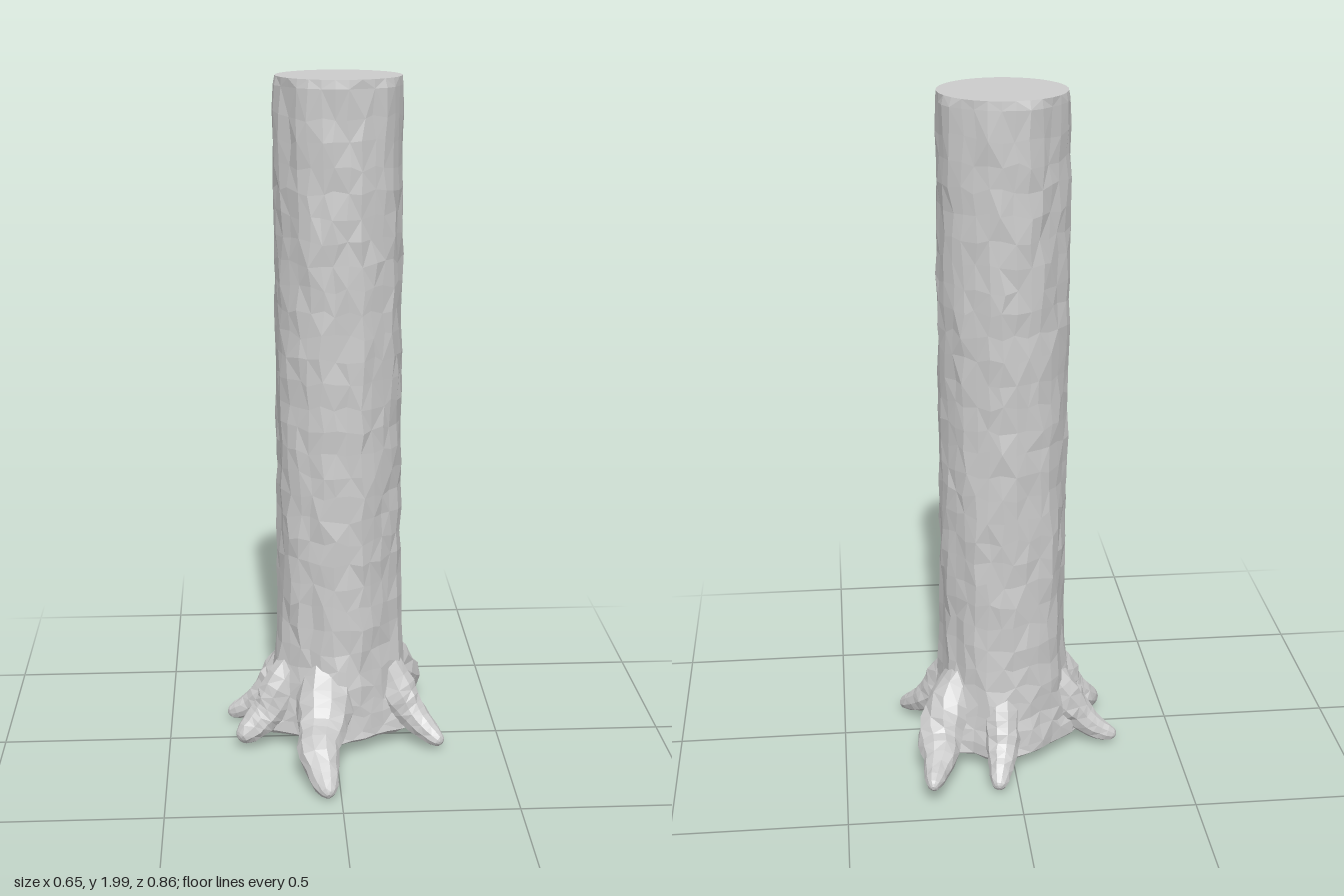
import * as THREE from 'three';

const CX = 0.016, CZ = -0.055, HEIGHT = 2;
const material = new THREE.MeshStandardMaterial({ color: 0xcccccc, flatShading: true, side: THREE.DoubleSide });

// Each root is a path of [x, y, z, half width, half height], from trunk to tip.
const ROOTS = {
  frontRoot: [[-0.02, 0.27, 0.04, 0.075, 0.07], [-0.035, 0.16, 0.12, 0.085, 0.085], [-0.045, 0.115, 0.2, 0.074, 0.06],
    [-0.06, 0.098, 0.3, 0.06, 0.046], [-0.046, 0.05, 0.37, 0.042, 0.036], [-0.037, 0.024, 0.428, 0.024, 0.024]],
  frontLeftRoot: [[0.13, 0.28, 0.0, 0.05, 0.05], [0.185, 0.16, 0.025, 0.06, 0.07],
    [0.23, 0.105, 0.05, 0.05, 0.05], [0.275, 0.062, 0.088, 0.036, 0.034], [0.318, 0.034, 0.128, 0.022, 0.022]],
  backLeftRoot: [[0.12, 0.28, -0.12, 0.06, 0.06], [0.185, 0.17, -0.16, 0.075, 0.075], [0.222, 0.11, -0.22, 0.066, 0.06],
    [0.225, 0.09, -0.3, 0.052, 0.045], [0.242, 0.075, -0.37, 0.034, 0.032], [0.254, 0.068, -0.43, 0.02, 0.022]],
  backRoot: [[0.03, 0.26, -0.18, 0.05, 0.05], [0.035, 0.15, -0.225, 0.055, 0.065],
    [0.04, 0.09, -0.28, 0.046, 0.046], [0.05, 0.05, -0.335, 0.033, 0.033], [0.06, 0.025, -0.385, 0.02, 0.022]],
  backRightRoot: [[-0.09, 0.28, -0.09, 0.05, 0.05], [-0.155, 0.16, -0.105, 0.06, 0.07],
    [-0.21, 0.1, -0.11, 0.044, 0.048], [-0.265, 0.055, -0.122, 0.031, 0.034], [-0.323, 0.03, -0.13, 0.02, 0.022]],
  frontRightRoot: [[-0.1, 0.28, 0.0, 0.05, 0.05], [-0.16, 0.17, 0.025, 0.055, 0.07],
    [-0.2, 0.11, 0.04, 0.05, 0.055], [-0.24, 0.075, 0.055, 0.048, 0.042], [-0.29, 0.04, 0.083, 0.028, 0.03]],
};

// Repeatable noise in -1..1
function hash(i, j) {
  const s = Math.sin(i * 127.1 + j * 311.7) * 43758.5453;
  return (s - Math.floor(s)) * 2 - 1;
}

// Closed skin over equal-sized loops of points, with a fan at both ends
function loft(rings) {
  const n = rings[0].length, pos = [], index = [];
  rings.forEach(r => r.forEach(p => pos.push(p.x, p.y, p.z)));
  for (let i = 0; i < rings.length - 1; i++) {
    for (let j = 0; j < n; j++) {
      const a = i * n + j, b = i * n + (j + 1) % n;
      if ((i + j) % 2) index.push(a, a + n, b, b, a + n, b + n);
      else index.push(a, a + n, b + n, a, b + n, b);
    }
  }
  [0, rings.length - 1].forEach((i, end) => {
    const mid = new THREE.Vector3();
    rings[i].forEach(p => mid.addScaledVector(p, 1 / n));
    const c = pos.length / 3;
    pos.push(mid.x, mid.y, mid.z);
    for (let j = 0; j < n; j++) {
      const a = i * n + j, b = i * n + (j + 1) % n;
      if (end) index.push(c, b, a); else index.push(c, a, b);
    }
  });
  const g = new THREE.BufferGeometry();
  g.setAttribute('position', new THREE.Float32BufferAttribute(pos, 3));
  g.setIndex(index);
  g.computeVertexNormals();
  return g;
}

// Bark-covered cylinder that swells towards each root near the ground
function trunkGeometry() {
  const sides = 30;
  const angles = Object.values(ROOTS).map(r => Math.atan2(r[2][2] - CZ, r[2][0] - CX));
  const heights = [0.045, 0.06, 0.09, 0.13, 0.17, 0.22, 0.27, 0.33];
  for (let y = 0.4; y < 1.95; y += 0.068) heights.push(y);
  heights.push(1.975, HEIGHT);
  const rings = heights.map((y, i) => {
    const top = y > 1.96, ring = [];
    for (let j = 0; j < sides; j++) {
      const a = j / sides * Math.PI * 2 + (top ? 0 : 0.05 * hash(i, j + 50));
      let r = 0.183 + 0.003 * Math.sin(5 * a + 2.2 * y) + 0.0025 * Math.sin(9 * a - 3 * y);
      if (!top) r += 0.0045 * hash(i, j) + 0.003 * hash(7, j);
      if (y === HEIGHT) r = 0.18;
      const flare = Math.max(0, (0.42 - y) / 0.36) ** 2;
      r += 0.018 * flare;
      for (const ra of angles) {
        const d = Math.atan2(Math.sin(a - ra), Math.cos(a - ra));
        r += 0.05 * flare * Math.exp(-((d / 0.24) ** 2));
      }
      if (i === 0) r *= 0.9;
      const yy = top || i < 2 ? y : y + 0.01 * hash(i + 20, j);
      ring.push(new THREE.Vector3(CX + r * Math.cos(a), yy, CZ + r * Math.sin(a)));
    }
    return ring;
  });
  return loft(rings);
}

// Tapering, slightly knobbly root with a rounded tip
function rootGeometry(points, seed) {
  const sides = 10, steps = 14;
  const path = new THREE.CatmullRomCurve3(points.map(p => new THREE.Vector3(p[0], p[1], p[2])));
  const sizes = new THREE.CatmullRomCurve3(points.map(p => new THREE.Vector3(p[3], p[4], 0)));
  const rings = [];
  for (let i = 0; i <= steps; i++) {
    const t = i < steps - 2 ? i / (steps - 2) * 0.96 : [0.96, 0.985, 1][i - steps + 2];
    const tip = t > 0.9 ? Math.sqrt(1 - ((t - 0.9) / 0.104) ** 2) : 1;
    const c = path.getPoint(t), s = sizes.getPoint(t), tan = path.getTangent(t);
    const side = new THREE.Vector3().crossVectors(tan, new THREE.Vector3(0, 1, 0)).normalize();
    const up = new THREE.Vector3().crossVectors(side, tan);
    const ring = [];
    for (let j = 0; j < sides; j++) {
      const a = j / sides * Math.PI * 2, k = tip * (1 + 0.07 * hash(i + seed * 31, j));
      const p = c.clone().addScaledVector(side, Math.cos(a) * s.x * k).addScaledVector(up, Math.sin(a) * s.y * k);
      p.y = Math.max(p.y, t < 0.6 ? 0.04 : 0);
      ring.push(p);
    }
    rings.push(ring);
  }
  return loft(rings);
}

export function createModel() {
  const group = new THREE.Group();
  group.name = 'treeTrunk';
  const add = (name, geometry) => {
    const mesh = new THREE.Mesh(geometry, material);
    mesh.name = name;
    group.add(mesh);
  };
  add('trunk', trunkGeometry());
  Object.entries(ROOTS).forEach(([name, points], i) => add(name, rootGeometry(points, i + 1)));
  return group;
}
